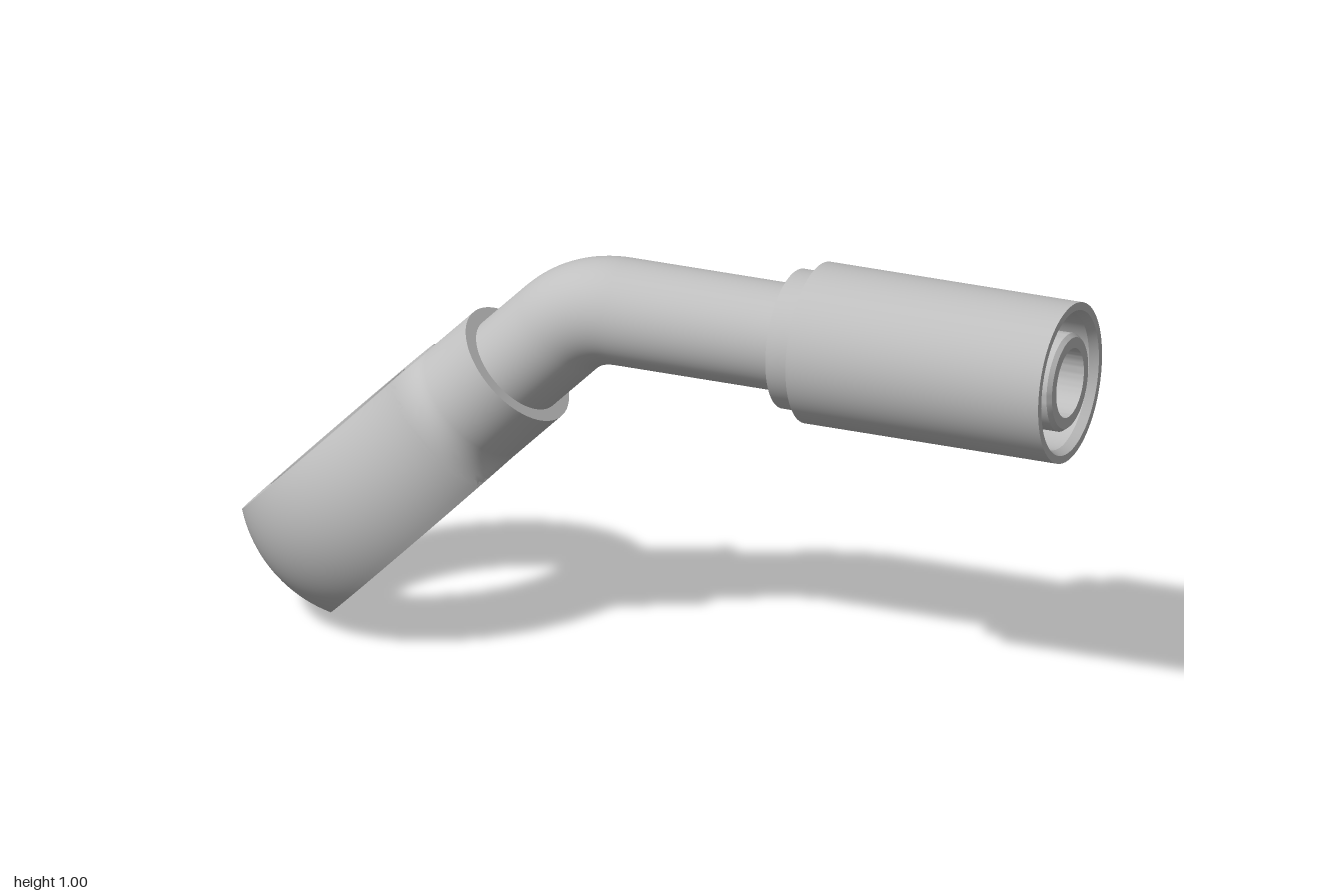
import * as THREE from 'three';
import { toCreasedNormals } from 'three/addons/utils/BufferGeometryUtils.js';

const steel = new THREE.MeshStandardMaterial({ color: 0xc0c0c0, side: THREE.DoubleSide });
steel.name = 'steel';

const AXIS_Y = 0.816;               // height of the straight pipe
const EYE = new THREE.Vector3(-0.687, 0.315, 0);
const S = Math.SQRT1_2;

function part(name, geometry) {
  const mesh = new THREE.Mesh(geometry, steel);
  mesh.name = name;
  return mesh;
}

// Turned part from [radius, height] pairs, optionally laid along +x
function turned(profile, alongX) {
  const g = new THREE.LatheGeometry(profile.map(([r, h]) => new THREE.Vector2(r, h)), 80);
  if (alongX) g.rotateZ(-Math.PI / 2);
  return g;
}

// Points on an arc in the profile plane
function arc(cx, cy, r, a0, a1, n) {
  return Array.from({ length: n + 1 }, (_, i) => {
    const a = a0 + (a1 - a0) * i / n;
    return [cx + r * Math.cos(a), cy + r * Math.sin(a)];
  });
}

export function createModel() {
  const model = new THREE.Group();
  model.name = 'banjoHoseFitting';

  // Eye end, tilted 45 degrees
  const eye = new THREE.Group();
  eye.name = 'eyeEnd';
  eye.position.copy(EYE);
  eye.rotation.z = Math.PI / 4;
  model.add(eye);

  // Spherical ring with flat faces and a filleted groove inside the bore
  const R = 0.325, H = 0.154, a = Math.asin(H / R), f = 0.035;
  const ring = [
    ...arc(0, 0, R, -a, a, 20),
    [0.2, H], [0.2, 0.104],
    ...arc(0.25 - f, 0.104 - f, f, Math.PI / 2, 0, 6),
    ...arc(0.25 - f, f - 0.104, f, 0, -Math.PI / 2, 6),
    [0.2, -0.104], [0.2, -H], [R * Math.cos(a), -H],
  ];
  eye.add(part('eyeRing', toCreasedNormals(turned(ring), 0.5)));

  // Neck blending into the ring, trimmed flush with the flat faces
  const blend = new THREE.QuadraticBezierCurve(
    new THREE.Vector2(0.2, 0.256), new THREE.Vector2(0.156, 0.287), new THREE.Vector2(0.154, 0.325));
  const neck = turned([
    ...blend.getPoints(8).map(p => [p.x, p.y]), [0.154, 0.468], [0.115, 0.468],
  ], true);
  const pos = neck.attributes.position;
  for (let i = 0; i < pos.count; i++) {
    pos.setY(i, THREE.MathUtils.clamp(pos.getY(i), -H + 0.0004, H - 0.0004));
  }
  eye.add(part('neck', toCreasedNormals(neck, 0.5)));

  // Bent pipe and its bore
  const along = s => new THREE.Vector3(EYE.x + s * S, EYE.y + s * S, 0);
  const reach = (AXIS_Y - EYE.y) / S, T = 0.09;
  const corner = along(reach);
  const bendIn = along(reach - T);
  const bendOut = new THREE.Vector3(corner.x + T, AXIS_Y, 0);
  const path = new THREE.CurvePath();
  path.add(new THREE.LineCurve3(along(0.27), bendIn));
  path.add(new THREE.QuadraticBezierCurve3(bendIn, corner, bendOut));
  path.add(new THREE.LineCurve3(bendOut, new THREE.Vector3(0.5, AXIS_Y, 0)));
  model.add(part('pipe', new THREE.TubeGeometry(path, 120, 0.123, 64)));
  model.add(part('pipeBore', new THREE.TubeGeometry(path, 120, 0.08, 48)));

  // Crimp ferrule with collar, hose cavity and inner nipple
  const ferrule = part('ferrule', toCreasedNormals(turned([
    [0.115, 0.32], [0.16, 0.32], [0.16, 0.38], [0.185, 0.38], [0.185, 1],
    [0.167, 1], [0.157, 0.98], [0.157, 0.5], [0.113, 0.5],
    [0.113, 0.99], [0.105, 1], [0.08, 1], [0.08, 0.5],
  ], true), 0.4));
  ferrule.position.y = AXIS_Y;
  model.add(ferrule);

  return model;
}
